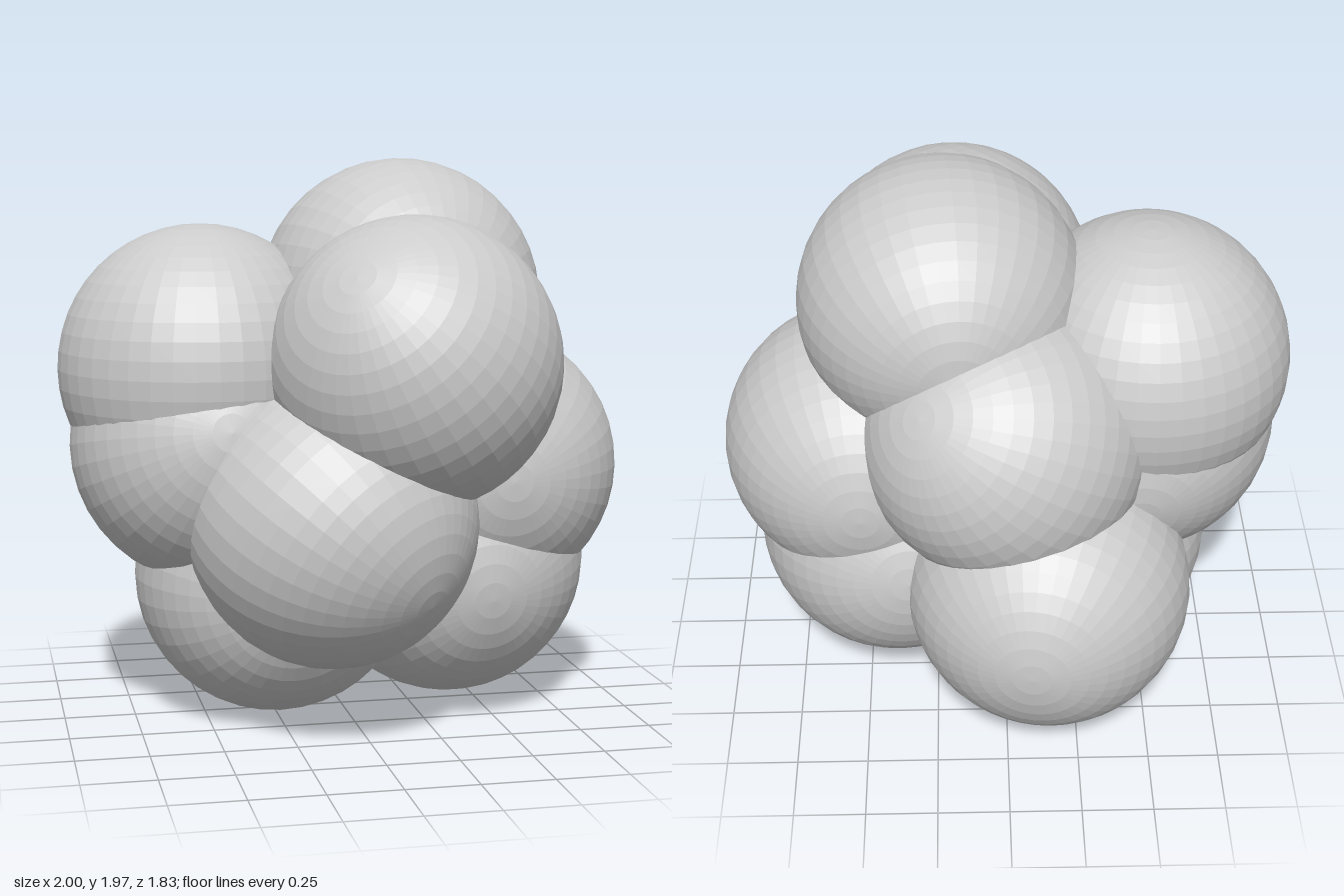
import * as THREE from 'three';

// Each ball: name, centre, direction of its pole
const BALLS = [
  ['topBall', [0.21, 1.47, 0], [0.1, 0.1, 1]],
  ['upperFrontBall', [0.17, 1.285, 0.415], [-0.26, 0.31, 0.29]],
  ['upperRightBall', [-0.5, 1.245, -0.01], [0, 1, 0]],
  ['middleRightBall', [-0.465, 0.98, 0.015], [0, 0.2, 1]],
  ['middleLeftBall', [0.5, 0.88, 0.01], [0, 0, 1]],
  ['middleBackBall', [0, 1.08, -0.27], [0.5, 0.5, -0.5]],
  ['lowerFrontBall', [-0.1, 0.74, 0.35], [0.25, -0.22, 0.34]],
  ['lowerLeftBall', [0.39, 0.54, -0.015], [0.1, -0.15, 1]],
  ['lowerBackBall', [-0.15, 0.535, -0.415], [0.15, 0, -1]],
  ['bottomBall', [-0.24, 0.5, -0.02], [0, 0, 1]],
];

export function createModel() {
  const group = new THREE.Group();
  group.name = 'ballCluster';
  const material = new THREE.MeshStandardMaterial({ color: 0xcccccc, flatShading: true });
  const ball = new THREE.SphereGeometry(0.5, 40, 24);
  const up = new THREE.Vector3(0, 1, 0);

  // Equal balls packed into one overlapping cluster
  for (const [name, centre, pole] of BALLS) {
    const mesh = new THREE.Mesh(ball, material);
    mesh.name = name;
    mesh.position.set(...centre);
    mesh.quaternion.setFromUnitVectors(up, new THREE.Vector3(...pole).normalize());
    group.add(mesh);
  }
  return group;
}
